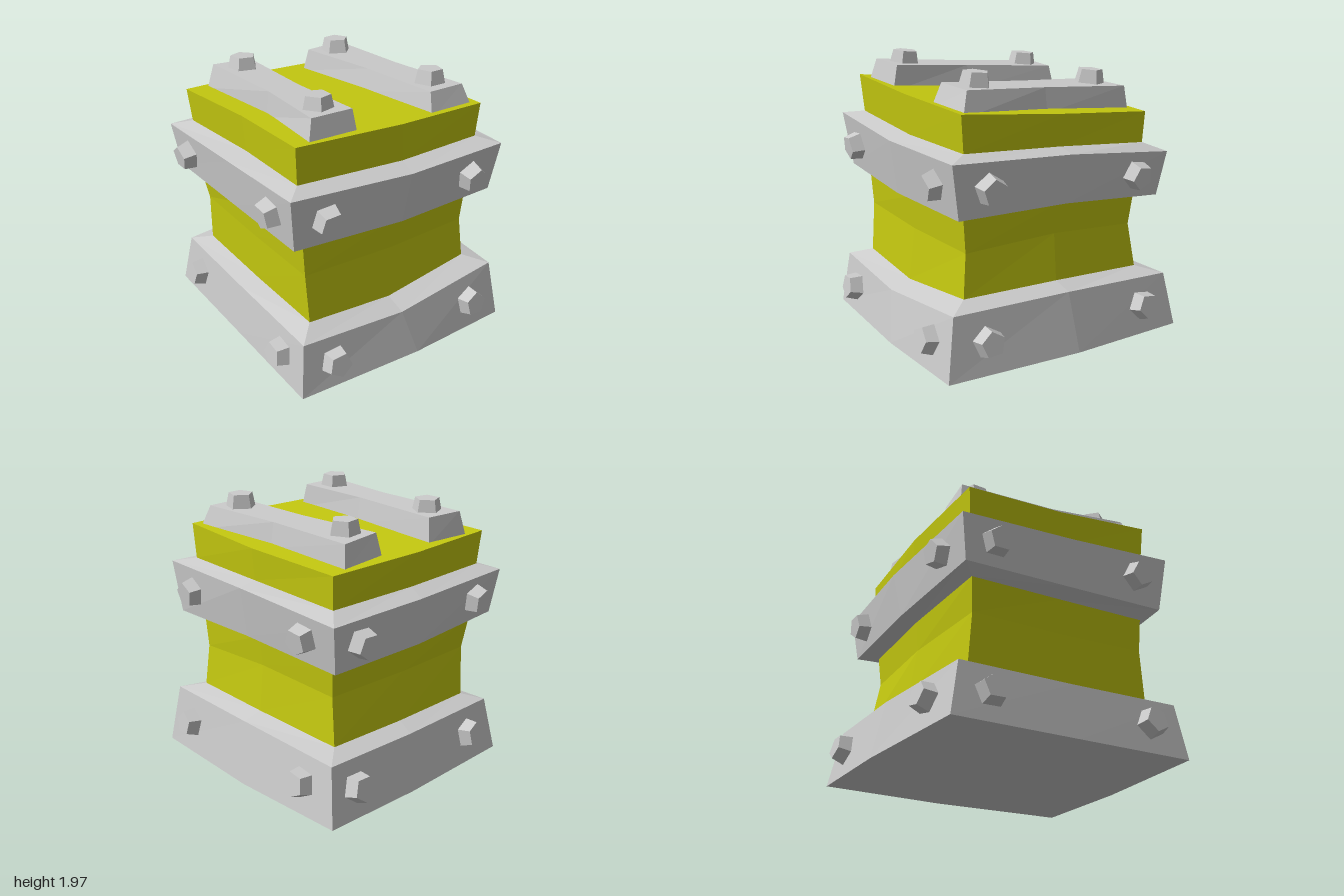
import * as THREE from 'three';

const grey = new THREE.MeshStandardMaterial({ color: 0xcccccc, flatShading: true });
const yellow = new THREE.MeshStandardMaterial({ color: 0xc5c910, flatShading: true });

// Cross-sections run counterclockwise from above, starting at the front left corner:
// each side has a corner and a middle point.
const foot = [[-.91, 0, .86], [.03, 0, .94], [.81, 0, .94], [.9, 0, -.05], [.9, 0, -.94], [.14, 0, -.94], [-.85, 0, -.88], [-.88, 0, 0]];
const footTop = [[-.86, .39, .81], [-.07, .35, .87], [.76, .43, .87], [.83, .43, 0], [.84, .39, -.87], [.1, .39, -.87], [-.8, .38, -.81], [-.83, .38, 0]];
const waistLow = [[-.72, .44, .68], [-.07, .4, .72], [.63, .47, .71], [.69, .47, 0], [.68, .43, -.73], [.05, .43, -.73], [-.68, .42, -.68], [-.7, .42, 0]];
const waistMid = [[-.73, .8, .65], [-.04, .78, .69], [.61, .77, .68], [.66, .8, 0], [.65, .75, -.68], [0, .77, -.7], [-.69, .78, -.66], [-.71, .78, 0]];
const waistHigh = [[-.75, 1.04, .66], [-.06, 1.01, .71], [.62, 1, .7], [.68, 1.01, 0], [.67, .96, -.7], [0, .98, -.72], [-.73, 1.01, -.69], [-.73, 1.03, 0]];
const bandLow = [[-.87, 1.09, .74], [-.05, 1.05, .81], [.74, 1.04, .81], [.79, 1.04, 0], [.77, .97, -.83], [0, 1, -.84], [-.83, 1.05, -.79], [-.85, 1.07, 0]];
const bandHigh = [[-.92, 1.48, .79], [-.03, 1.425, .87], [.77, 1.41, .87], [.84, 1.38, 0], [.82, 1.29, -.87], [.05, 1.33, -.89], [-.87, 1.37, -.84], [-.89, 1.42, 0]];
const neck = [[-.79, 1.5, .67], [0, 1.455, .73], [.66, 1.44, .72], [.71, 1.41, 0], [.7, 1.35, -.74], [0, 1.38, -.76], [-.75, 1.41, -.72], [-.74, 1.45, 0]];
const lid = [[-.81, 1.77, .69], [-.03, 1.73, .75], [.67, 1.69, .74], [.73, 1.63, 0], [.71, 1.57, -.75], [-.03, 1.61, -.78], [-.77, 1.65, -.74], [-.76, 1.71, 0]];

// Joins rings from bottom to top, with optional end caps
function loft(name, rings, material, capBottom = false, capTop = false) {
  const pos = [];
  const tri = (...p) => p.forEach((q) => pos.push(...q));
  const n = rings[0].length;
  for (let r = 0; r < rings.length - 1; r++) {
    for (let i = 0; i < n; i++) {
      const j = (i + 1) % n, lo = rings[r], hi = rings[r + 1];
      tri(lo[i], lo[j], hi[j]);
      tri(lo[i], hi[j], hi[i]);
    }
  }
  const cap = (ring, up) => {
    const c = [0, 1, 2].map((k) => ring.reduce((s, p) => s + p[k], 0) / n);
    for (let i = 0; i < n; i++) {
      const j = (i + 1) % n;
      if (up) tri(ring[i], ring[j], c); else tri(ring[j], ring[i], c);
    }
  };
  if (capBottom) cap(rings[0], false);
  if (capTop) cap(rings[rings.length - 1], true);
  const g = new THREE.BufferGeometry();
  g.setAttribute('position', new THREE.Float32BufferAttribute(pos, 3));
  g.computeVertexNormals();
  const mesh = new THREE.Mesh(g, material);
  mesh.name = name;
  return mesh;
}

// Five-sided tapered bolt head standing on a surface
const boltGeometry = new THREE.CylinderGeometry(0.088, 0.112, 0.11, 5);
function bolt(name, point, normal, spin) {
  const m = new THREE.Mesh(boltGeometry, grey);
  m.name = name;
  m.position.copy(point).addScaledVector(normal, 0.035);
  m.quaternion.setFromUnitVectors(new THREE.Vector3(0, 1, 0), normal);
  m.rotateY(spin);
  return m;
}

// One bolt near each end of every side between two rings
function ringOfBolts(name, lo, hi) {
  const group = new THREE.Group();
  group.name = name;
  for (let i = 0; i < 8; i++) {
    const j = (i + 1) % 8;
    const [a, b, c, d] = [lo[i], lo[j], hi[j], hi[i]].map((p) => new THREE.Vector3(...p));
    const u = i % 2 ? 0.69 : 0.28;
    const low = a.clone().lerp(b, u), high = d.clone().lerp(c, u);
    const normal = b.clone().sub(a).cross(high.clone().sub(low)).normalize();
    group.add(bolt('sideBolt', low.lerp(high, 0.52), normal, i * 0.47));
  }
  return group;
}

// Height of the sloping lid
const lidY = (x, z) => 1.67 - 0.055 * x + 0.065 * z;

// Bevelled slat across the lid; outlines are [x, z]
function slat(name, base, top, height) {
  const lift = (outline, h) => outline.map(([x, z]) => [x, lidY(x, z) + h, z]);
  return loft(name, [lift(base, -0.03), lift(top, height)], grey, true, true);
}

export function createModel() {
  const model = new THREE.Group();
  model.name = 'crate';
  model.add(
    loft('base', [foot, footTop, waistLow], grey, true),
    loft('body', [waistLow, waistMid, waistHigh], yellow),
    loft('band', [waistHigh, bandLow, bandHigh, neck], grey),
    loft('lid', [neck, lid], yellow, false, true),
    ringOfBolts('baseBolts', foot, footTop),
    ringOfBolts('bandBolts', bandLow, bandHigh),
    slat('rightSlat',
      [[-.7, .67], [-.325, .67], [-.31, .05], [-.25, -.69], [-.61, -.72], [-.6, .05]],
      [[-.65, .63], [-.34, .63], [-.34, .05], [-.28, -.66], [-.57, -.69], [-.58, .05]], 0.15),
    slat('leftSlat',
      [[.26, .71], [.63, .7], [.565, 0], [.57, -.71], [.19, -.67], [.24, 0]],
      [[.29, .65], [.58, .64], [.54, 0], [.55, -.69], [.22, -.64], [.28, 0]], 0.14),
  );
  // Bolts at the slat ends
  const up = new THREE.Vector3(0.055, 1, -0.065).normalize();
  [[-.43, -.51], [-.5, .48], [.38, -.51], [.43, .48]].forEach(([x, z], i) => {
    const p = new THREE.Vector3(x, lidY(x, z) + 0.145, z);
    model.add(bolt('slatBolt', p, up, 0.4 + i * 0.5));
  });
  return model;
}
